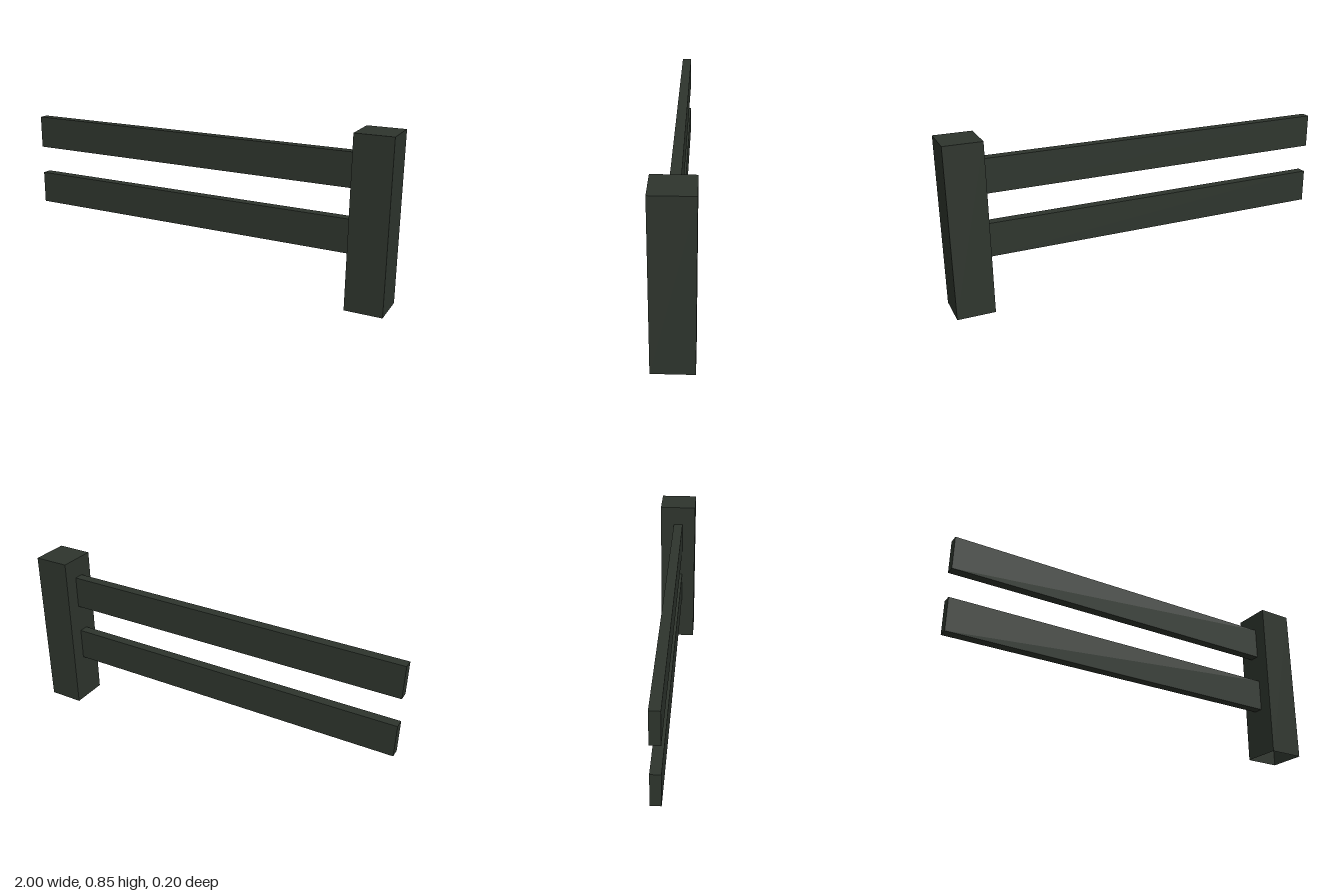
import * as THREE from 'three';

export function createModel() {
  const group = new THREE.Group();
  const paint = new THREE.MeshStandardMaterial({ color: 0x2e352d, side: THREE.DoubleSide });
  paint.name = 'dark green paint';

  // Hollow post, open at the foot: drop the downward face of the box
  const postGeometry = new THREE.BoxGeometry(0.185, 0.846, 0.196);
  const index = Array.from(postGeometry.index.array);
  index.splice(18, 6);
  postGeometry.setIndex(index);
  postGeometry.clearGroups();
  const post = new THREE.Mesh(postGeometry, paint);
  post.name = 'post';
  post.position.set(0.9075, 0.423, 0);
  group.add(post);

  // Two rails, turned very slightly out of line with the post
  [['lowerRail', 0.341], ['upperRail', 0.659]].forEach(([name, y]) => {
    const rail = new THREE.Mesh(new THREE.BoxGeometry(1.816, 0.169, 0.05), paint);
    rail.name = name;
    rail.position.set(-0.092, y, -0.001);
    rail.rotation.y = -0.0025;
    group.add(rail);
  });

  return group;
}
